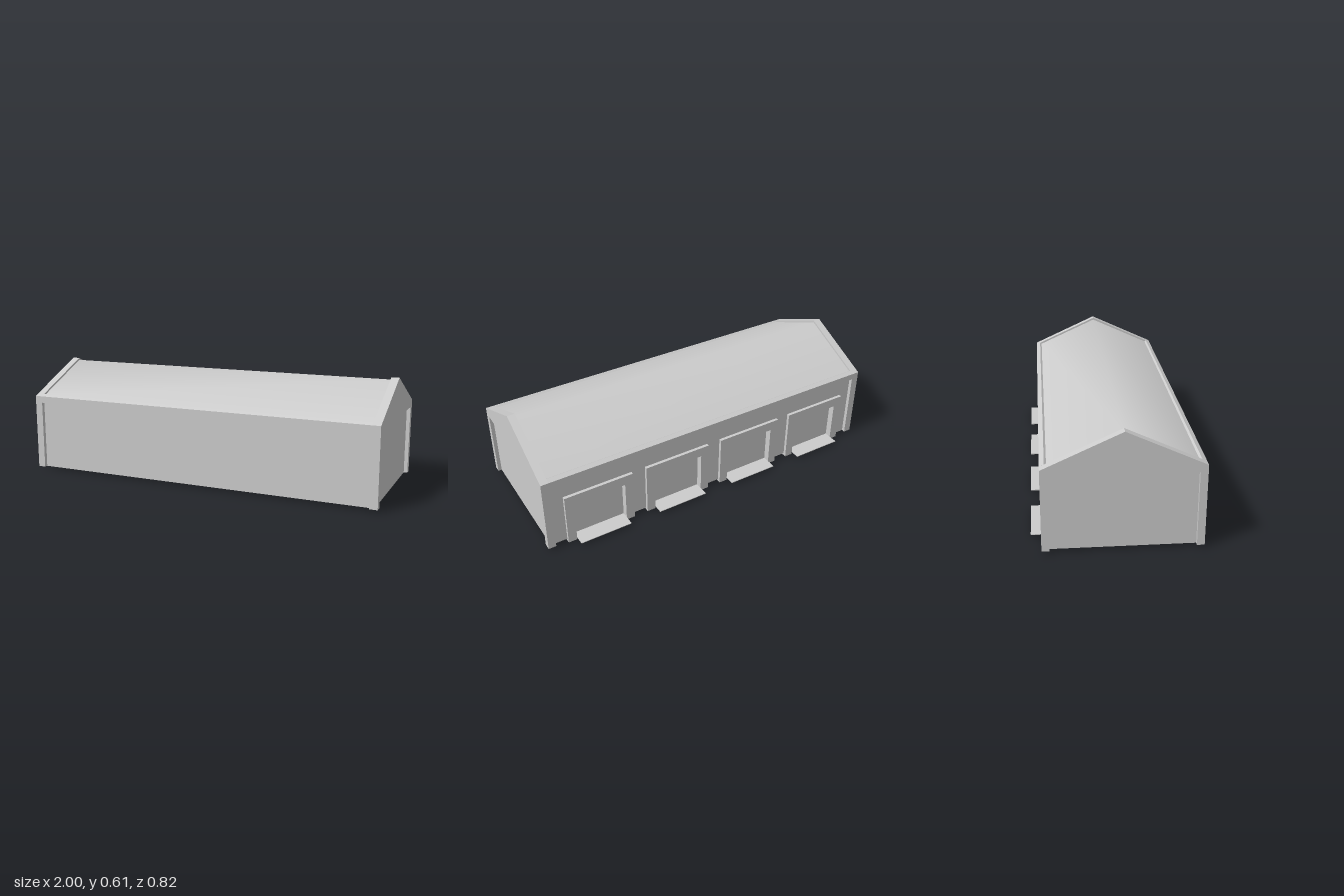
import * as THREE from 'three';

const material = new THREE.MeshStandardMaterial({ color: 0xcccccc });
const BASE = 0.013, FRONT = 0.41, BACK = -0.36, RIDGE_Z = 0.025, BEAM = 0.393;

export function createModel() {
  const model = new THREE.Group();

  const add = (name, geometry) => {
    const mesh = new THREE.Mesh(geometry, material);
    mesh.name = name;
    model.add(mesh);
    return mesh;
  };
  const box = (name, x0, x1, y0, y1, z0, z1) =>
    add(name, new THREE.BoxGeometry(x1 - x0, y1 - y0, z1 - z0)
      .translate((x0 + x1) / 2, (y0 + y1) / 2, (z0 + z1) / 2));
  const extrude = (points, depth) => new THREE.ExtrudeGeometry(
    new THREE.Shape(points.map(([x, y]) => new THREE.Vector2(x, y))), { depth, bevelEnabled: false });
  // Profile given as [z, y], swept along x
  const sweepX = (name, points, x0, x1) =>
    add(name, extrude(points.map(([z, y]) => [-z, y]), x1 - x0).rotateY(Math.PI / 2).translate(x0, 0, 0));

  // Recessed wall panels, floor and closed doors
  box('wallPanels', -0.98, 0.98, BASE, 0.41, -0.32, 0.39);

  // Gable frames: corner posts and a flush triangle
  const gable = [[FRONT, BASE], [FRONT, 0.43], [RIDGE_Z, 0.607], [BACK, 0.43], [BACK, BASE],
    [-0.322, BASE], [-0.322, BEAM], [0.373, BEAM], [0.373, BASE]];
  sweepX('rightGable', gable, -1, -0.958);
  sweepX('leftGable', gable, 0.958, 1);

  // Eave beams with a raised roof border, mirrored about the ridge
  for (const [name, s] of [['frontEave', 1], ['backEave', -1]]) {
    const profile = [[0.385, BEAM], [0.385, 0.43], [0.362, 0.441], [0.347, 0.43], [0.347, BEAM]];
    sweepX(name, profile.map(([z, y]) => [RIDGE_Z + s * z, y]), -0.958, 0.958);
  }

  // Sunken roof skin, shaded smoothly over the ridge
  const rows = [[0.377, 0.434], [RIDGE_Z, 0.595], [-0.327, 0.434]];
  const roof = new THREE.BufferGeometry();
  roof.setAttribute('position', new THREE.Float32BufferAttribute(
    rows.flatMap(([z, y]) => [-0.958, y, z, 0.958, y, z]), 3));
  roof.setIndex([0, 1, 3, 0, 3, 2, 2, 3, 5, 2, 5, 4]);
  roof.computeVertexNormals();
  add('roofPanel', roof);

  // Back wall with door openings, outlined as a comb
  const doors = [-0.7, -0.235, 0.23, 0.695];
  const half = 0.145, doorTop = 0.24;
  const comb = [[-0.98, BASE]];
  for (const c of doors) {
    comb.push([c - half, BASE], [c - half, doorTop], [c + half, doorTop], [c + half, BASE]);
  }
  comb.push([0.98, BASE], [0.98, 0.41], [-0.98, 0.41]);
  add('backWall', extrude(comb, 0.02).translate(0, 0, -0.34));

  // Door surrounds standing on small feet, each with a thin sill
  for (const c of doors) {
    const w = 0.193, top = 0.295;
    const surround = [[-w, 0], [-half, 0], [-half, doorTop], [half, doorTop], [half, 0], [w, 0], [w, top], [-w, top]];
    add('doorSurround', extrude(surround, 0.037).translate(c, 0, -0.357));
    box('doorSill', c - half, c + half, 0.012, 0.016, -0.41, -0.319);
  }

  return model;
}
